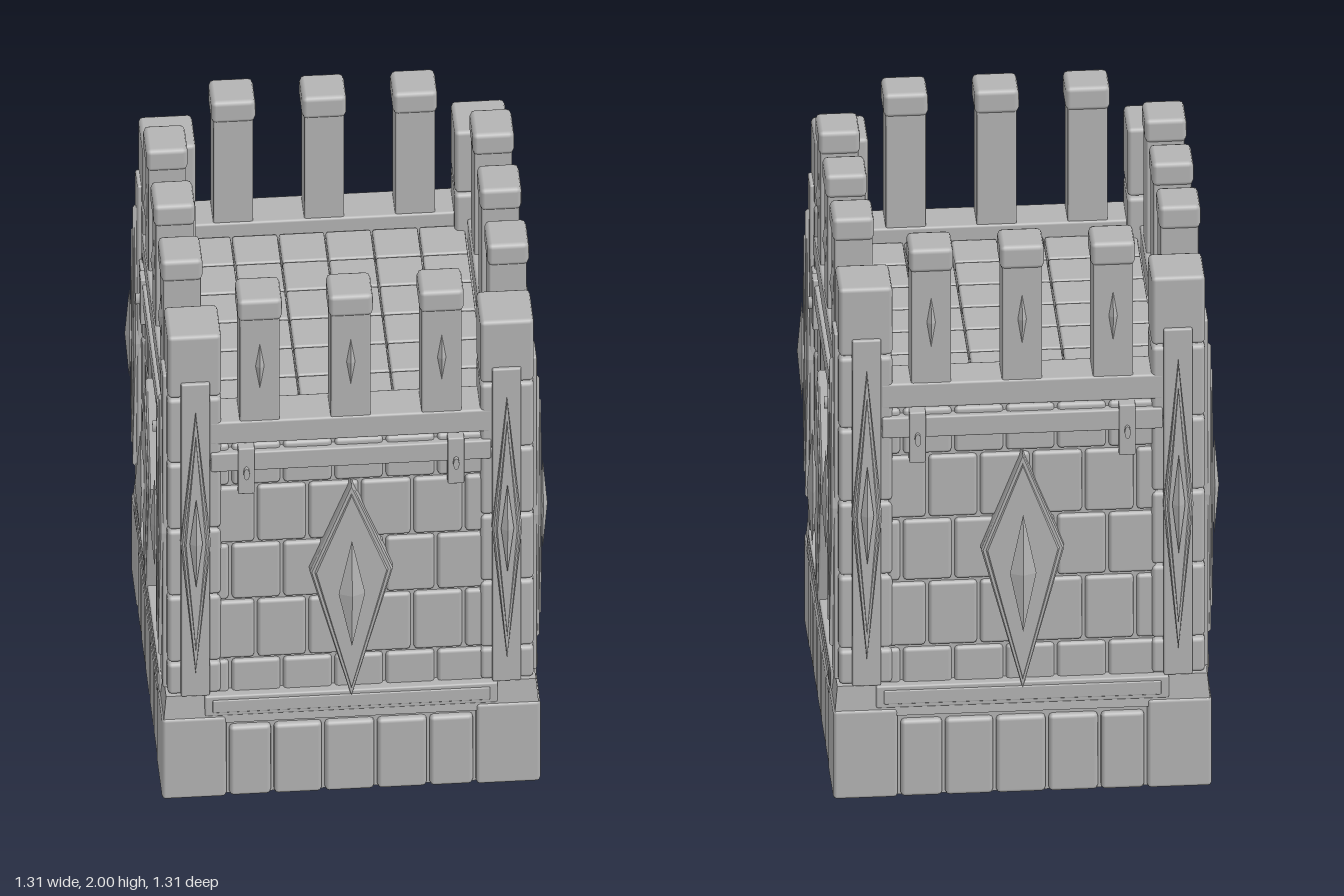
import * as THREE from 'three';
import { RoundedBoxGeometry } from 'three/addons/geometries/RoundedBoxGeometry.js';

const stone = new THREE.MeshStandardMaterial({ color: 0xb4b4b4 });
stone.name = 'grey stone';

function add(parent, name, geometry, x = 0, y = 0, z = 0) {
  const mesh = new THREE.Mesh(geometry, stone);
  mesh.name = name;
  mesh.position.set(x, y, z);
  parent.add(mesh);
  return mesh;
}

// Bevelled block given by its limits on each axis
function block(parent, name, [x0, x1], [y0, y1], [z0, z1], bevel = 0.01) {
  const w = x1 - x0, h = y1 - y0, d = z1 - z0;
  const r = Math.min(bevel, w * 0.4, h * 0.4, d * 0.4);
  return add(parent, name, new RoundedBoxGeometry(w, h, d, 1, r), (x0 + x1) / 2, (y0 + y1) / 2, (z0 + z1) / 2);
}

// Square tapering tier
function tier(parent, name, bottom, top, y0, y1) {
  const g = new THREE.CylinderGeometry(top * Math.SQRT2, bottom * Math.SQRT2, y1 - y0, 4).rotateY(Math.PI / 4).toNonIndexed();
  g.computeVertexNormals();
  return add(parent, name, g, 0, (y0 + y1) / 2, 0);
}

// Flat kite plate with a narrow bevelled rim
function kite(parent, name, x, halfWidth, yLow, yWide, yHigh, z0, z1) {
  const s = new THREE.Shape();
  s.moveTo(x, yLow);
  s.lineTo(x + halfWidth, yWide);
  s.lineTo(x, yHigh);
  s.lineTo(x - halfWidth, yWide);
  s.closePath();
  const b = 0.006;
  const g = new THREE.ExtrudeGeometry(s, {
    depth: z1 - z0 - b, bevelEnabled: true, bevelThickness: b, bevelSize: b, bevelOffset: -b, bevelSegments: 1,
  });
  return add(parent, name, g, 0, 0, z0);
}

// Faceted pointed stud
function stud(parent, name, x, y, z, sx, sy, sz) {
  return add(parent, name, new THREE.OctahedronGeometry(1).scale(sx, sy, sz), x, y, z);
}

// Row of bricks between successive edges
function brickRow(parent, name, edges, ys, zs, bevel) {
  const gap = 0.005;
  for (let i = 0; i < edges.length - 1; i++) {
    block(parent, name, [edges[i] + gap, edges[i + 1] - gap], ys, zs, bevel);
  }
}

function buildSide() {
  const side = new THREE.Group();
  side.name = 'towerSide';

  // Plinth bricks and ledge
  brickRow(side, 'plinthBrick', [-0.4, -0.255, -0.09, 0.08, 0.25, 0.4], [0, 0.28], [0.5, 0.612], 0.014);
  block(side, 'ledgeBar', [-0.475, 0.475], [0.33, 0.41], [0.56, 0.613], 0.006);
  block(side, 'ledgeFace', [-0.45, 0.45], [0.345, 0.395], [0.6, 0.617], 0.004);

  // Staggered wall courses
  const even = [-0.44, -0.39, -0.223, -0.056, 0.11, 0.277, 0.44];
  const odd = [-0.44, -0.307, -0.14, 0.03, 0.2, 0.367, 0.44];
  const courses = [[0.3, 0.53], [0.54, 0.77], [0.78, 1.0], [1.01, 1.235], [1.245, 1.41]];
  courses.forEach((ys, i) => brickRow(side, 'wallBrick', i % 2 ? odd : even, ys, [0.52, 0.585], 0.012));

  // Parapet band and rail
  block(side, 'parapet', [-0.46, 0.46], [1.42, 1.51], [0.46, 0.595], 0.008);
  block(side, 'rail', [-0.455, 0.455], [1.315, 1.39], [0.56, 0.603], 0.006);

  // Rail brackets with pegs
  for (const x of [-0.34, 0.34]) {
    block(side, 'bracket', [x - 0.027, x + 0.027], [1.225, 1.41], [0.56, 0.609], 0.005);
    const peg = new THREE.CylinderGeometry(0.01, 0.01, 0.02, 8).rotateX(Math.PI / 2).scale(1, 2.3, 1);
    add(side, 'peg', peg, x, 1.315, 0.613);
  }

  // Merlons with caps and studs
  for (const x of [-0.295, 0, 0.295]) {
    block(side, 'merlon', [x - 0.065, x + 0.065], [1.46, 1.95], [0.467, 0.59], 0.006);
    block(side, 'merlonCap', [x - 0.072, x + 0.072], [1.915, 2], [0.462, 0.597], 0.016);
    stud(side, 'merlonStud', x, 1.73, 0.59, 0.014, 0.09, 0.012);
  }

  // Central kite ornament
  kite(side, 'wallKite', 0, 0.135, 0.385, 0.9, 1.25, 0.57, 0.618);
  kite(side, 'wallKiteFace', 0, 0.12, 0.42, 0.9, 1.215, 0.61, 0.623);
  stud(side, 'wallStud', 0, 0.82, 0.635, 0.043, 0.215, 0.018);

  // Ornament strips on the corner posts
  for (const x of [-0.505, 0.505]) {
    block(side, 'postPlate', [x - 0.047, x + 0.047], [0.41, 1.68], [0.56, 0.607], 0.006);
    kite(side, 'postKite', x, 0.049, 0.51, 1.04, 1.57, 0.595, 0.619);
    kite(side, 'postKiteFace', x, 0.038, 0.6, 1.04, 1.48, 0.61, 0.624);
    stud(side, 'postStud', x, 1.05, 0.63, 0.021, 0.18, 0.015);
  }
  return side;
}

function buildCorner() {
  const corner = new THREE.Group();
  corner.name = 'cornerPost';
  block(corner, 'cornerPlinth', [0.405, 0.614], [0, 0.325], [0.405, 0.614], 0.012);
  // Stacked post stones
  const joints = [0.41, 0.54, 0.81, 1.08, 1.35, 1.615, 1.87];
  for (let i = 0; i < joints.length - 1; i++) {
    block(corner, 'postStone', [0.42, 0.594], [joints[i], joints[i + 1] - 0.006], [0.42, 0.594], 0.014);
  }
  return corner;
}

export function createModel() {
  const tower = new THREE.Group();
  tower.name = 'tower';

  // Solid cores
  tier(tower, 'plinthCore', 0.59, 0.59, 0, 0.3);
  tier(tower, 'plinthSlope', 0.61, 0.6, 0.3, 0.41);
  tier(tower, 'wallCore', 0.57, 0.57, 0.41, 1.43);

  // Roof paving
  const pitch = 0.91 / 6;
  for (let i = 0; i < 6; i++) {
    for (let j = 0; j < 6; j++) {
      const x = -0.455 + i * pitch, z = -0.455 + j * pitch;
      block(tower, 'floorTile', [x + 0.002, x + pitch - 0.002], [1.4, 1.465], [z + 0.002, z + pitch - 0.002], 0.008);
    }
  }

  // Four matching sides and corners
  for (let k = 0; k < 4; k++) {
    for (const part of [buildSide(), buildCorner()]) {
      part.rotation.y = k * Math.PI / 2;
      tower.add(part);
    }
  }
  return tower;
}
